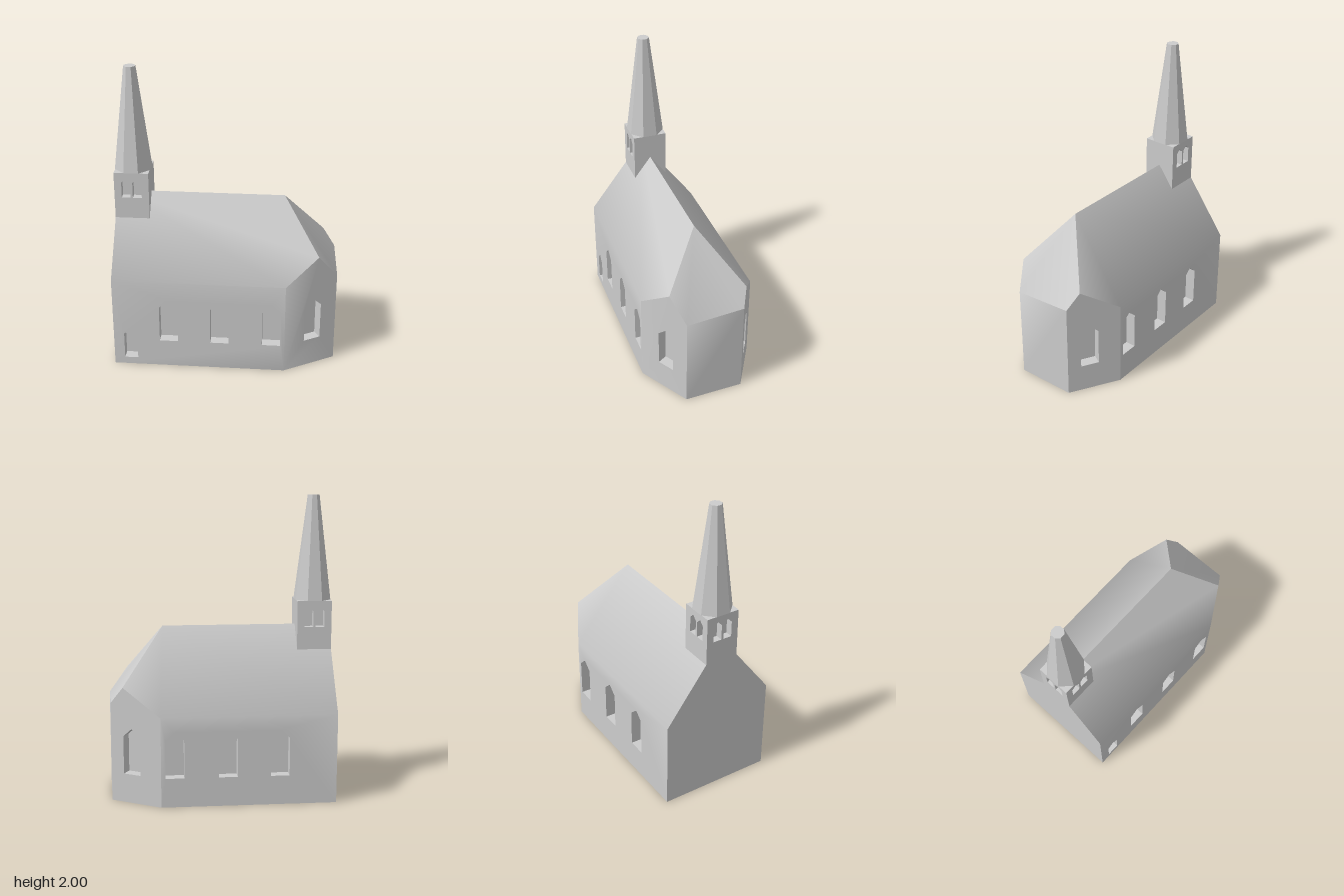
import * as THREE from 'three';
import { mergeGeometries, toCreasedNormals } from 'three/addons/utils/BufferGeometryUtils.js';

const CREASE = 0.7; // gentle corners and eaves stay smooth, the rest is sharp
const BASE = [[-0.745, 0.385], [0.41, 0.385], [0.745, 0.185], [0.73, -0.21], [0.41, -0.39], [-0.745, -0.385]];
const EAVE = [0.64, 0.64, 0.645, 0.665, 0.6, 0.6];
const RIDGE = 1.135;
const TOWER = { x0: -0.745, x1: -0.515, z0: -0.105, z1: 0.125, top: 1.305, low: 0.98 };

// Pointed opening, centred on u, from sill to tip
const opening = (u, width, sill, shoulder, tip) => [
  [u - width / 2, sill], [u + width / 2, sill], [u + width / 2, shoulder], [u, tip], [u - width / 2, shoulder],
];
const windowAt = (u) => opening(u, 0.123, 0.195, 0.45, 0.505);
const belfryPair = (u) => [-0.037, 0.037].map((d) => opening(u + d, 0.06, 1.13, 1.235, 1.265));
const toShape = (pts) => new THREE.Shape(pts.map(([x, y]) => new THREE.Vector2(x, y)));

// Keeps only positions, so that parts can be merged
function plain(geo) {
  const g = geo.index ? geo.toNonIndexed() : geo;
  g.deleteAttribute('uv');
  g.deleteAttribute('normal');
  return g;
}

// Flat convex polygon from 3D corners, counter-clockwise seen from outside
function face(...pts) {
  const pos = [];
  for (let i = 1; i < pts.length - 1; i++) pos.push(...pts[0], ...pts[i], ...pts[i + 1]);
  const g = new THREE.BufferGeometry();
  g.setAttribute('position', new THREE.Float32BufferAttribute(pos, 3));
  return g;
}

// Wall running from a to b (outside left to right), with recessed openings
function wall(a, b, outline, openings, depth, walls, recesses) {
  const u = new THREE.Vector3(b[0] - a[0], 0, b[1] - a[1]).normalize();
  const m = new THREE.Matrix4().makeBasis(u, new THREE.Vector3(0, 1, 0), new THREE.Vector3(-u.z, 0, u.x));
  m.setPosition(a[0], 0, a[1]);
  const shape = toShape(outline);
  for (const o of openings) {
    shape.holes.push(toShape(o));
    // Back pane and the reveals round it
    const parts = [plain(new THREE.ShapeGeometry(toShape(o)).translate(0, 0, -depth))];
    o.forEach((p, i) => {
      const q = o[(i + 1) % o.length];
      parts.push(face([...p, 0], [...q, 0], [...q, -depth], [...p, -depth]));
    });
    recesses.push(mergeGeometries(parts).applyMatrix4(m));
  }
  walls.push(plain(new THREE.ShapeGeometry(shape)).applyMatrix4(m));
}

export function createModel() {
  const group = new THREE.Group();
  const stone = new THREE.MeshStandardMaterial({ color: 0xcccccc });
  stone.name = 'light grey stone';
  const add = (name, parts) => {
    const mesh = new THREE.Mesh(toCreasedNormals(mergeGeometries(parts), CREASE), stone);
    mesh.name = name;
    group.add(mesh);
  };

  const nave = [], tower = [], naveRecesses = [], belfryRecesses = [];
  const len = (i) => Math.hypot(BASE[i + 1][0] - BASE[i][0], BASE[i + 1][1] - BASE[i][1]);

  // Hip peaks above the two slanting walls
  const peakF = [0.62, 0.808, 0.26], peakB = [0.65, 0.775, -0.255];
  const along = (i, p) => Math.hypot(p[0] - BASE[i][0], p[2] - BASE[i][1]);

  // Side, slanting and end walls
  const xs = [-0.37, -0.028, 0.32];
  const peaks = { 1: peakF, 3: peakB };
  const openings = [
    [opening(0.115, 0.09, 0.05, 0.235, 0.275), ...xs.map((x) => windowAt(x + 0.745))],
    [windowAt(0.212)],
    [],
    [windowAt(0.153)],
    xs.map((x) => windowAt(0.41 - x)),
  ];
  for (let i = 0; i < 5; i++) {
    const outline = [[0, 0], [len(i), 0], [len(i), EAVE[i + 1]]];
    if (peaks[i]) outline.push([along(i, peaks[i]), peaks[i][1]]);
    outline.push([0, EAVE[i]]);
    wall(BASE[i], BASE[i + 1], outline, openings[i], 0.07, nave, naveRecesses);
  }

  // Gable wall rising into the tower
  const T = TOWER, z5 = BASE[5][1];
  wall(BASE[5], BASE[0], [
    [0, 0], [0.77, 0], [0.77, EAVE[0]], [T.z1 - z5, T.low], [T.z1 - z5, T.top],
    [T.z0 - z5, T.top], [T.z0 - z5, T.low], [0, EAVE[5]],
  ], belfryPair(0.01 - z5), 0.05, nave, belfryRecesses);

  // Roof slopes, hipped end and floor
  const eave = BASE.map(([x, z], i) => [x, EAVE[i], z]);
  const r0 = [-0.745, RIDGE, 0.01], r1 = [0.38, RIDGE, 0.01];
  nave.push(
    face(r0, eave[0], eave[1], peakF, r1),
    face(r1, peakB, eave[4], eave[5], r0),
    face(r1, peakF, eave[2], eave[3], peakB),
    face(...BASE.map(([x, z]) => [x, 0, z]).reverse()),
  );

  // Tower sides above the roof, and its top
  const w = T.x1 - T.x0, d = T.z1 - T.z0, low = 0.95;
  const panel = (n) => [[0, low], [n, low], [n, T.top], [0, T.top]];
  wall([T.x0, T.z1], [T.x1, T.z1], panel(w), belfryPair(w / 2), 0.05, tower, belfryRecesses);
  wall([T.x1, T.z1], [T.x1, T.z0], panel(d), [], 0, tower, belfryRecesses);
  wall([T.x1, T.z0], [T.x0, T.z0], panel(w), belfryPair(w / 2), 0.05, tower, belfryRecesses);
  tower.push(face([T.x0, T.top, T.z1], [T.x1, T.top, T.z1], [T.x1, T.top, T.z0], [T.x0, T.top, T.z0]));

  // Blunt eight-sided spire
  const spire = new THREE.CylinderGeometry(0.04, 0.127, 0.695, 8).rotateY(Math.PI / 8);
  spire.translate(-0.63, T.top + 0.3475, 0.01);

  add('nave', nave);
  add('naveWindowRecesses', naveRecesses);
  add('tower', tower);
  add('belfryWindowRecesses', belfryRecesses);
  add('spire', [plain(spire)]);
  return group;
}
